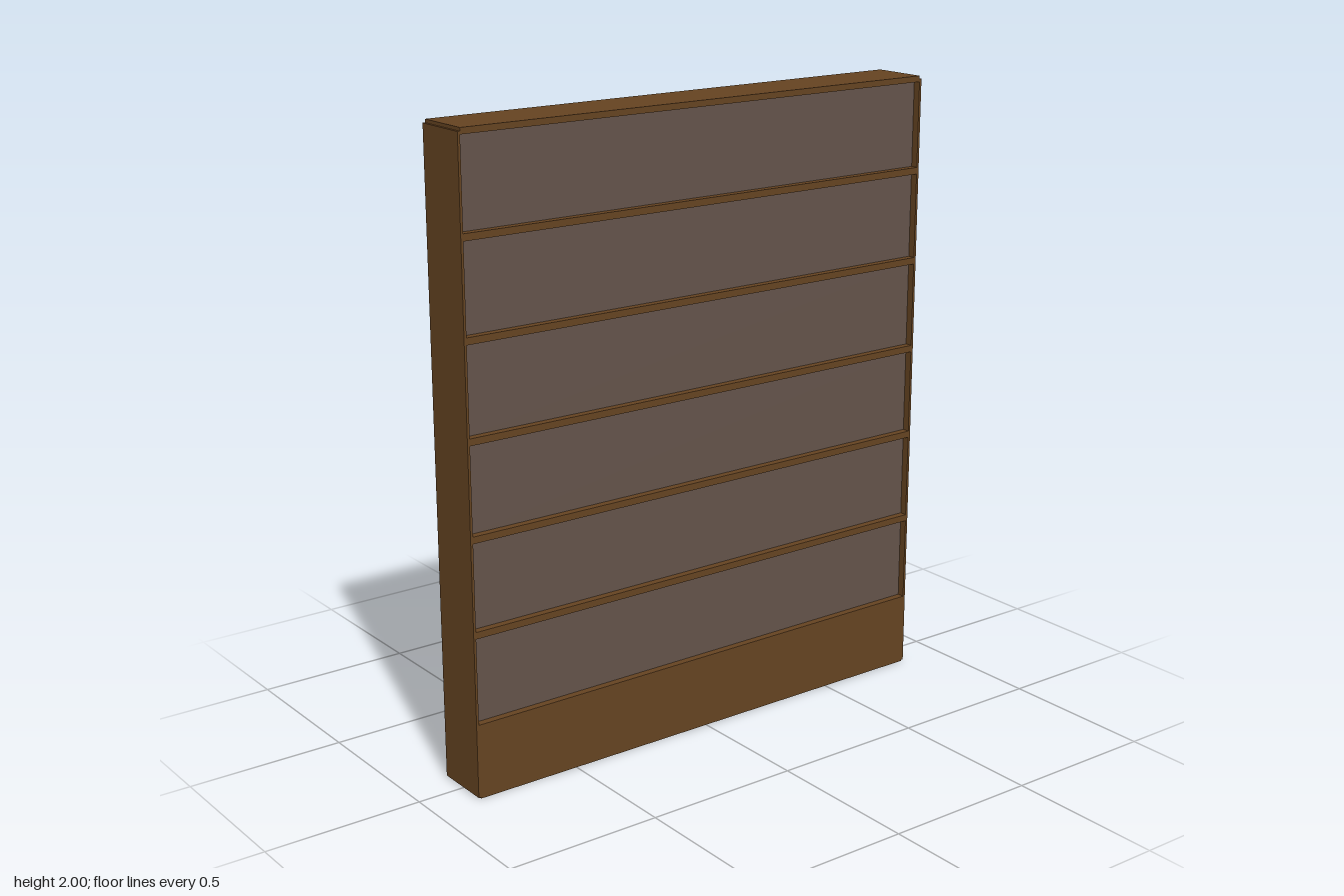
import * as THREE from 'three';

export function createModel() {
  const group = new THREE.Group();
  const wood = new THREE.MeshStandardMaterial({ color: 0x654321 });
  wood.name = 'dark wood';
  const panelGrey = new THREE.MeshStandardMaterial({ color: 0x63534a });
  panelGrey.name = 'grey brown panel';

  const W = 0.185;        // thickness across x
  const HALF = 0.85;      // half length along z
  const SIDE = 0.008;     // side board thickness
  const RECESS = 0.024;   // depth of the panels behind the shelf edges
  const BASE = 0.238, SHELF = 0.0215, TOP = 0.019, COUNT = 6;
  const inner = 2 * (HALF - SIDE);

  // Box spanning y0..y1, centred on x
  function board(name, material, w, y0, y1, depth, z = 0) {
    const mesh = new THREE.Mesh(new THREE.BoxGeometry(w, y1 - y0, depth), material);
    mesh.position.set(0, (y0 + y1) / 2, z);
    mesh.name = name;
    group.add(mesh);
  }

  // Outer frame: plinth, top board and two thin side boards
  board('plinth', wood, W, 0, BASE, inner);
  board('topBoard', wood, W, 2 - TOP, 2, inner);
  for (const s of [1, -1]) {
    board(s > 0 ? 'frontSideBoard' : 'backSideBoard', wood, W, 0.004, 1.99, SIDE, s * (HALF - SIDE / 2));
  }

  // Recessed panels, visible on both faces, separated by shelves
  const height = (2 - TOP - BASE - (COUNT - 1) * SHELF) / COUNT;
  for (let i = 0; i < COUNT; i++) {
    const y = BASE + i * (height + SHELF);
    board('panel' + (i + 1), panelGrey, W - 2 * RECESS, y, y + height, inner);
    if (i < COUNT - 1) board('shelf' + (i + 1), wood, W, y + height, y + height + SHELF, inner);
  }
  return group;
}
